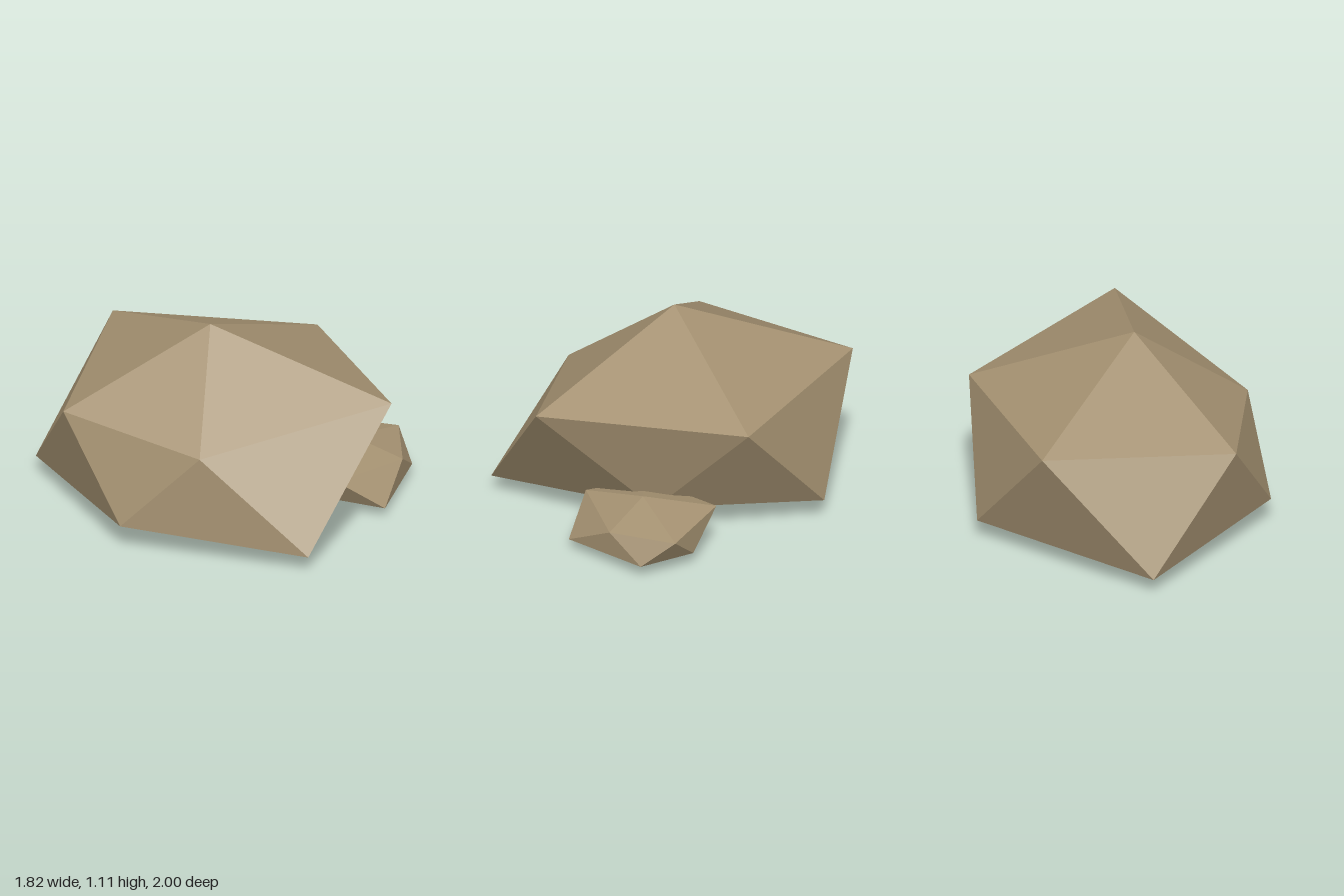
import * as THREE from 'three';

// Faceted boulder: a top point, two staggered five-point rings and a bottom point.
// Both rings run from +x towards +z; lower[i] sits between upper[i] and upper[i + 1].
function makeRock(name, material, top, upper, lower, bottom) {
  const corners = [];
  for (let i = 0; i < 5; i++) {
    const j = (i + 1) % 5;
    corners.push(
      top, upper[j], upper[i],
      upper[i], upper[j], lower[i],
      lower[i], upper[j], lower[j],
      bottom, lower[i], lower[j]
    );
  }
  const geometry = new THREE.BufferGeometry();
  geometry.setAttribute('position', new THREE.Float32BufferAttribute(corners.flat(), 3));
  geometry.computeVertexNormals(); // unshared corners give flat facets
  const mesh = new THREE.Mesh(geometry, material);
  mesh.name = name;
  return mesh;
}

export function createModel() {
  const group = new THREE.Group();
  group.name = 'rocks';
  const stone = new THREE.MeshStandardMaterial({ color: 0xa39070, flatShading: true });
  stone.name = 'sandy stone';

  // Main boulder
  group.add(makeRock('largeRock', stone,
    [-0.13, 1.11, -0.02],
    [[0.81, 0.73, -0.02], [0.21, 0.81, 1.0], [-0.69, 0.61, 0.36], [-0.82, 0.68, -0.51], [0.18, 0.76, -0.97]],
    [[0.4, 0.175, 0.36], [-0.46, 0.1, 0.95], [-0.91, 0.155, -0.03], [-0.46, 0.1, -1.0], [0.64, 0.12, -0.57]],
    [-0.13, 0.02, -0.02]));

  // Small stone tucked against its front left corner
  group.add(makeRock('smallRock', stone,
    [0.5, 0.325, 0.48],
    [[0.91, 0.225, 0.48], [0.62, 0.217, 0.745], [0.145, 0.235, 0.66], [0.17, 0.23, 0.3], [0.67, 0.26, 0.11]],
    [[0.82, 0.075, 0.65], [0.33, 0.06, 0.855], [0.16, 0.085, 0.48], [0.38, 0.08, 0.22], [0.81, 0.08, 0.32]],
    [0.5, 0, 0.48]));

  return group;
}
